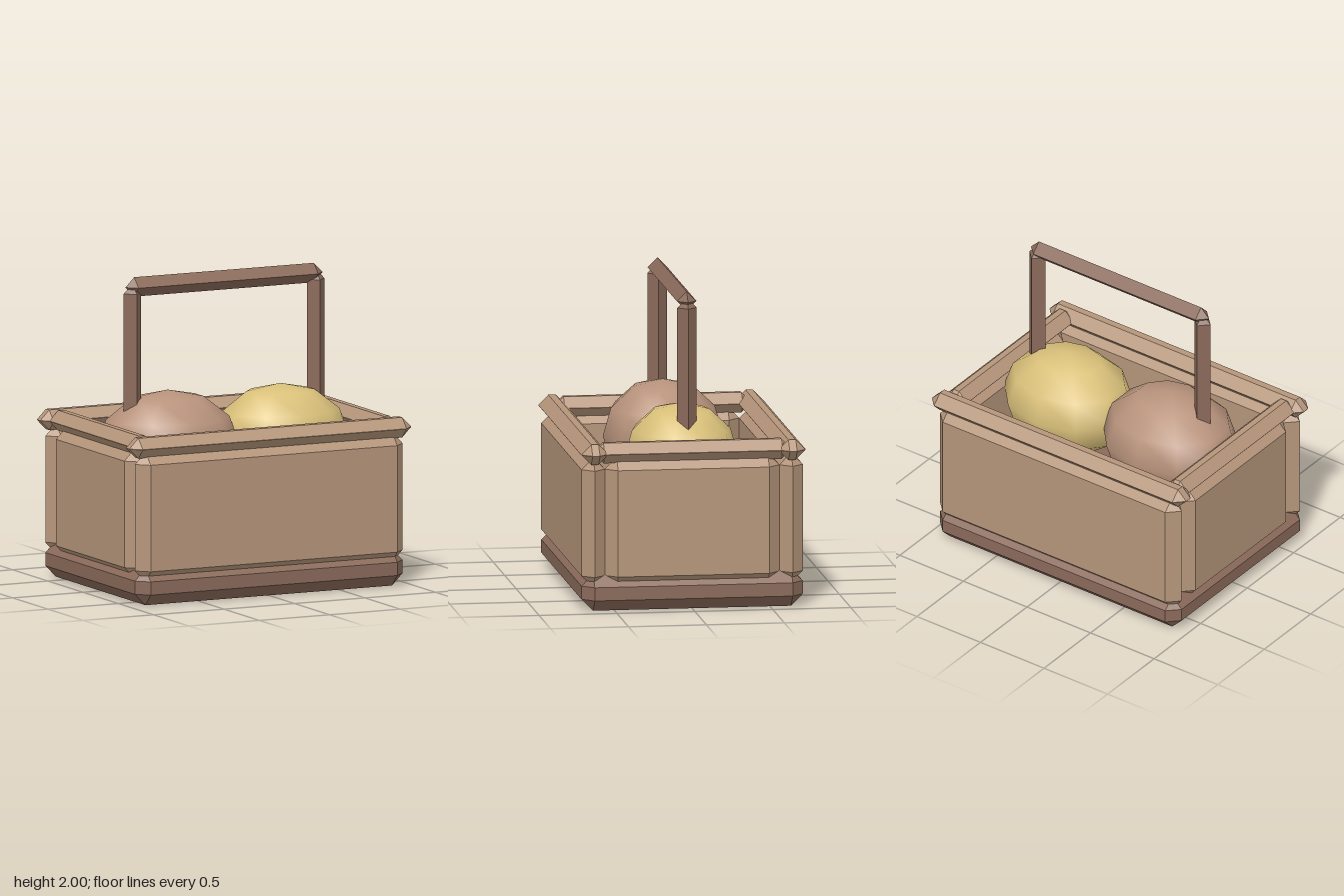
import * as THREE from 'three';
import { ConvexGeometry } from 'three/addons/geometries/ConvexGeometry.js';

const makeMaterial = (name, color) => {
  const m = new THREE.MeshStandardMaterial({ color });
  m.name = name;
  return m;
};

// Box with every edge and corner cut at 45 degrees, centred on the origin
function chamferedBox(w, h, d, c) {
  const half = [w / 2, h / 2, d / 2];
  const points = new Map();
  for (let axis = 0; axis < 3; axis++) {
    for (const sx of [-1, 1]) for (const sy of [-1, 1]) for (const sz of [-1, 1]) {
      const p = [sx, sy, sz].map((s, i) => s * (half[i] - (i === axis ? 0 : c)));
      points.set(p.map((v) => Math.round(v * 1e4)).join(), new THREE.Vector3(...p));
    }
  }
  return new ConvexGeometry([...points.values()]);
}

export function createModel() {
  const tan = makeMaterial('tan wicker', 0xb5957a);
  const dark = makeMaterial('dark wood', 0x8a6a5a);
  const crust = makeMaterial('brown crust', 0xb8937c);
  const golden = makeMaterial('golden crust', 0xd9c07a);
  const model = new THREE.Group();
  model.name = 'basket';

  const add = (name, geometry, material, x, y, z) => {
    const mesh = new THREE.Mesh(geometry, material);
    mesh.name = name;
    mesh.position.set(x, y, z);
    model.add(mesh);
  };

  // Base slab
  add('base', chamferedBox(1.9, 0.235, 1.42, 0.075), dark, 0, 0.1175, 0);

  // Walls and rim, mirrored front/back and left/right
  const longWall = chamferedBox(1.9, 0.835, 0.15, 0.075);
  const shortWall = chamferedBox(0.15, 0.835, 1.12, 0.075);
  const longRim = chamferedBox(2, 0.13, 0.175, 0.064);
  const shortRim = chamferedBox(0.17, 0.13, 1.27, 0.064);
  for (const s of [1, -1]) {
    const end = s > 0 ? 'front' : 'back';
    const side = s > 0 ? 'left' : 'right';
    add(end + 'Wall', longWall, tan, 0, 0.5675, s * 0.635);
    add(side + 'Wall', shortWall, tan, s * 0.875, 0.5675, 0);
    add(end + 'Rim', longRim, tan, 0, 1.015, s * 0.6325);
    add(side + 'Rim', shortRim, tan, s * 0.87, 1.015, 0);
    // Handle posts sink into the loaves
    add(side + 'HandlePost', chamferedBox(0.125, 0.96, 0.125, 0.0625), dark, s * 0.65, 1.48, 0);
  }
  add('handleBar', chamferedBox(1.4, 0.125, 0.125, 0.0625), dark, 0, 1.9375, 0);

  // Rounded loaves
  const loaf = (rx, ry, rz) => new THREE.SphereGeometry(1, 10, 6).rotateY(Math.PI / 2).scale(rx, ry, rz);
  add('brownLoaf', loaf(0.47, 0.36, 0.385), crust, -0.4, 0.9, 0);
  add('goldenLoaf', loaf(0.45, 0.345, 0.365), golden, 0.4, 0.9, 0);

  return model;
}
